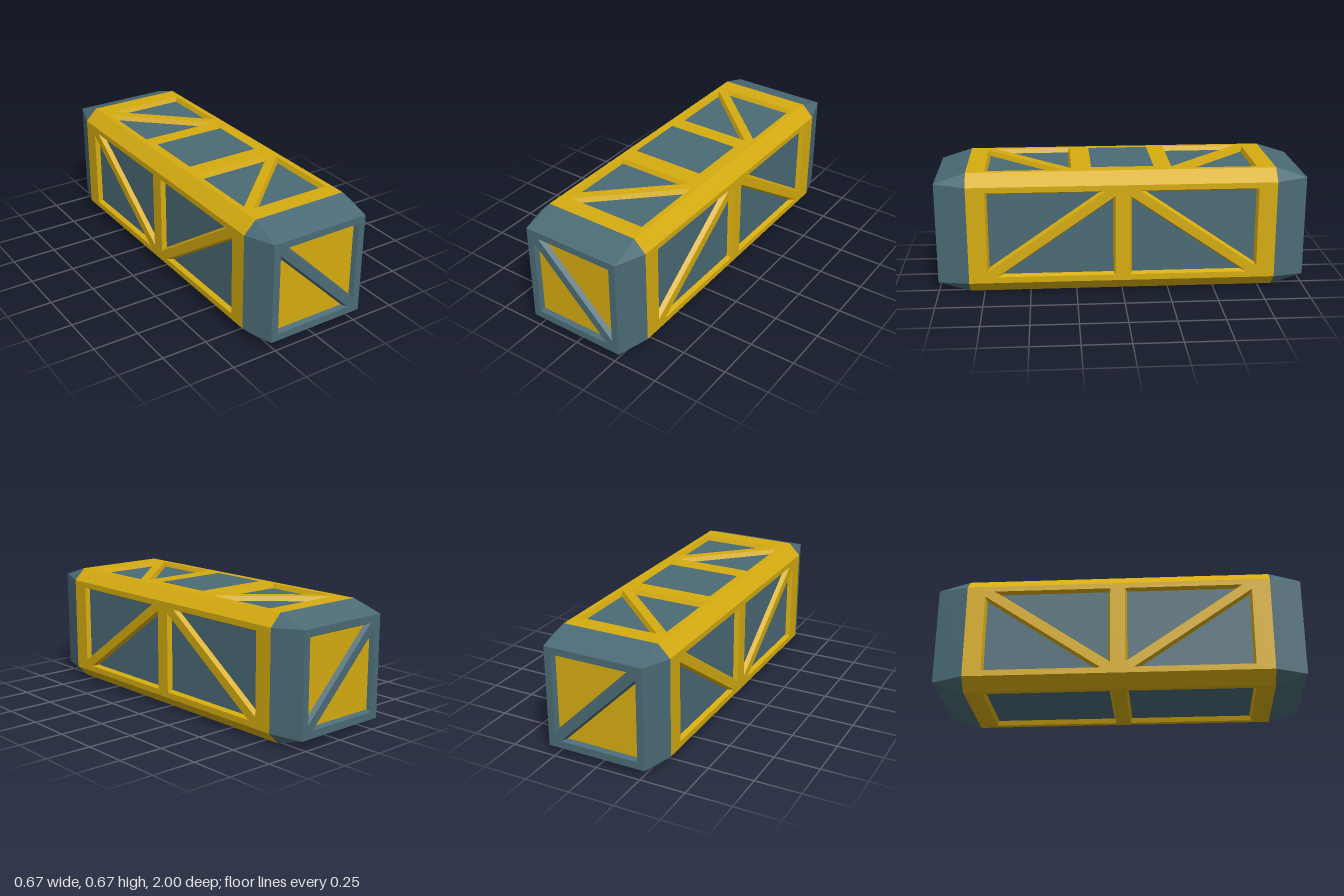
import * as THREE from 'three';

const W = 0.333, H = 0.667, C = 0.268;  // body half width, height, flat half width
const BODY = 0.83, END = 1, E = 0.277;  // half lengths, end face half size
const DEPTH = 0.025, SLOPE = 0.011;     // recess depth and wall slope

const V = (x, y, z = 0) => new THREE.Vector3(x, y, z);

// Flat polygons (corners counter-clockwise from outside) as one mesh
function polygons(name, faces, material) {
  const pos = [];
  for (const f of faces)
    for (let i = 1; i < f.length - 1; i++)
      for (const p of [f[0], f[i], f[i + 1]]) pos.push(p.x, p.y, p.z);
  const g = new THREE.BufferGeometry();
  g.setAttribute('position', new THREE.Float32BufferAttribute(pos, 3));
  g.computeVertexNormals();
  const mesh = new THREE.Mesh(g, material);
  mesh.name = name;
  return mesh;
}

// Turn a face list outward from the model's centre
function outward(faces) {
  const mid = V(0, H / 2, 0);
  return faces.map((f) => {
    const n = f[1].clone().sub(f[0]).cross(f[2].clone().sub(f[0]));
    return n.dot(f[0].clone().sub(mid)) < 0 ? f.slice().reverse() : f;
  });
}

const rect = (x0, x1, y0, y1) => [V(x0, y0), V(x1, y0), V(x1, y1), V(x0, y1)];

// Two triangular windows with a diagonal brace left between them
function braced(x0, x1, y0, y1, gx, gy, flip) {
  const tris = [
    [V(x0 + gx, y1), V(x1, y0 + gy), V(x1, y1)],
    [V(x0, y0), V(x1 - gx, y0), V(x0, y1 - gy)],
  ];
  if (!flip) return tris;
  return tris.map((t) => t.map((p) => V(x0 + x1 - p.x, p.y)).reverse());
}

// Shrink a counter-clockwise outline and push it inward
function inset(loop) {
  const n = loop.length;
  const normal = (a, b) => V(a.y - b.y, b.x - a.x).normalize();
  return loop.map((p, i) => {
    const n1 = normal(loop[(i + n - 1) % n], p), n2 = normal(p, loop[(i + 1) % n]);
    const q = n1.clone().add(n2).multiplyScalar(SLOPE / (1 + n1.dot(n2))).add(p);
    q.z = -DEPTH;
    return q;
  });
}

// Framed face with sunken windows, placed by its u, v and origin
function framedFace(name, u, v, origin, hu, hv, windows, frameMat, floorMat) {
  const group = new THREE.Group();
  group.name = name;
  const shape = new THREE.Shape(rect(-hu, hu, -hv, hv));
  const walls = [], floors = [];
  for (const loop of windows) {
    shape.holes.push(new THREE.Path(loop));
    const low = inset(loop);
    floors.push(low);
    loop.forEach((p, i) => {
      const j = (i + 1) % loop.length;
      walls.push([p, loop[j], low[j], low[i]]);
    });
  }
  const frame = new THREE.Mesh(new THREE.ShapeGeometry(shape), frameMat);
  frame.name = name + 'Frame';
  group.add(frame,
    polygons(name + 'WindowWalls', walls, frameMat),
    polygons(name + 'WindowPanels', floors, floorMat));
  const m = new THREE.Matrix4().makeBasis(u, v, u.clone().cross(v)).setPosition(origin);
  group.applyMatrix4(m);
  return group;
}

export function createModel() {
  const yellow = new THREE.MeshStandardMaterial({ color: 0xd6ac10 });
  yellow.name = 'yellow';
  const slate = new THREE.MeshStandardMaterial({ color: 0x4b6b76 });
  slate.name = 'slate';
  const model = new THREE.Group();
  model.name = 'crate';
  const mid = H / 2;

  // Long sides, with braces mirrored top to bottom between them
  for (const s of [1, -1]) {
    const windows = [
      ...braced(-0.73, -0.04, -0.235, 0.237, 0.05, 0.028, s > 0),
      ...braced(0.04, 0.73, -0.235, 0.237, 0.05, 0.028, s < 0),
    ];
    model.add(framedFace(s > 0 ? 'leftSide' : 'rightSide', V(0, 0, -s), V(0, 1, 0),
      V(s * W, mid, 0), BODY, C, windows, yellow, slate));
  }

  // Top with two braced bays, bottom with two open bays
  model.add(framedFace('top', V(1, 0, 0), V(0, 0, -1), V(0, H, 0), C, BODY, [
    ...braced(-0.238, 0.238, 0.27, 0.73, 0.031, 0.04, false),
    ...braced(-0.238, 0.238, -0.73, -0.27, 0.031, 0.04, true),
  ], yellow, slate));
  model.add(framedFace('bottom', V(1, 0, 0), V(0, 0, 1), V(0, 0, 0), C, BODY, [
    rect(-0.238, 0.238, 0.04, 0.73),
    rect(-0.238, 0.238, -0.73, -0.04),
  ], yellow, slate));

  // Painted plate in the middle of the top
  const plate = new THREE.Mesh(new THREE.BoxGeometry(0.415, 0.003, 0.335), slate);
  plate.name = 'topPlate';
  plate.position.set(-0.0125, H + 0.0005, -0.006);
  model.add(plate);

  // Chamfers along the body
  const chamfers = [];
  for (const sx of [1, -1]) for (const sy of [1, -1]) {
    const a = (z) => V(sx * C, mid + sy * mid, z), b = (z) => V(sx * W, mid + sy * C, z);
    chamfers.push([a(-BODY), a(BODY), b(BODY), b(-BODY)]);
  }
  model.add(polygons('bodyChamfers', outward(chamfers), yellow));

  // Tapered end caps with a braced end face
  for (const s of [1, -1]) {
    const name = s > 0 ? 'front' : 'back';
    const faces = [];
    const corner = (sx, sy) => V(sx * E, mid + sy * E, s * END);
    const flat = (sx, sy) => V(sx * C, mid + sy * mid, s * BODY);
    const side = (sx, sy) => V(sx * W, mid + sy * C, s * BODY);
    for (const k of [1, -1]) {
      faces.push([flat(-1, k), flat(1, k), corner(1, k), corner(-1, k)]);
      faces.push([side(k, -1), side(k, 1), corner(k, 1), corner(k, -1)]);
      for (const j of [1, -1]) faces.push([flat(k, j), side(k, j), corner(k, j)]);
    }
    model.add(polygons(name + 'Cap', outward(faces), slate));
    model.add(framedFace(name + 'End', V(s, 0, 0), V(0, 1, 0), V(0, mid, s * END), E, E,
      braced(-0.238, 0.238, -0.237, 0.24, 0.032, 0.033, s < 0), slate, yellow));
  }
  return model;
}
